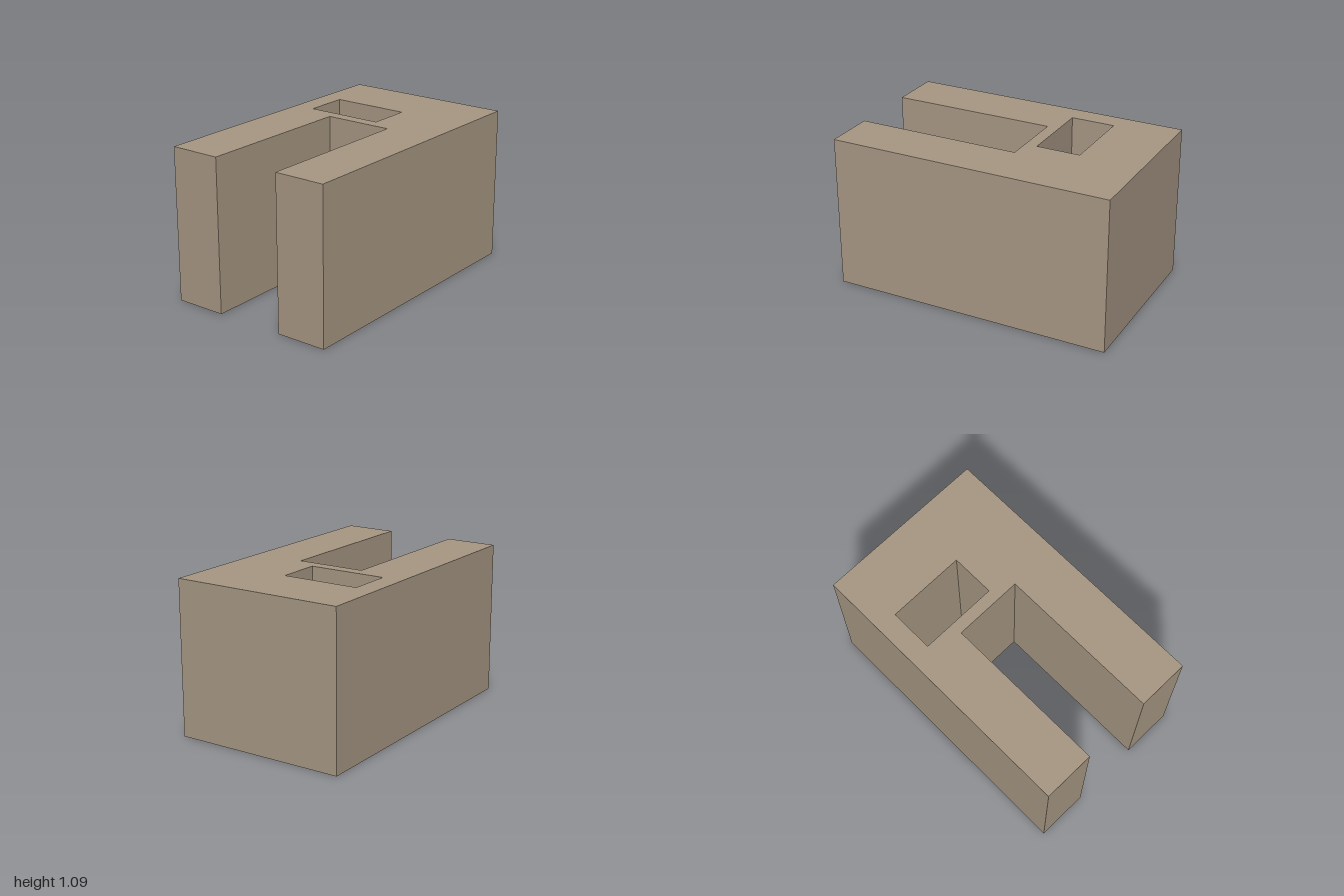
import * as THREE from 'three';

const HEIGHT = 1.085;

// Plan outline from [x, z] corners; shape y is -z so the extrusion can be stood up
const toPlan = (corners) => corners.map(([x, z]) => new THREE.Vector2(x, -z));

export function createModel() {
  const group = new THREE.Group();
  group.name = 'slottedBlock';

  // U-shaped block, its slot open to the front
  const w = 0.613, s = 0.246, slotEnd = -0.165;
  const plan = new THREE.Shape(toPlan([
    [-w, 1], [-s, 1], [-s, slotEnd], [s, slotEnd],
    [s, 1], [w, 1], [w, -1], [-w, -1],
  ]));

  // Rectangular shaft through the full height, behind the slot
  plan.holes.push(new THREE.Path(toPlan([
    [-0.465, -0.56], [0.09, -0.56], [0.09, -0.25], [-0.465, -0.25],
  ])));

  const geometry = new THREE.ExtrudeGeometry(plan, { depth: HEIGHT, bevelEnabled: false });
  geometry.rotateX(-Math.PI / 2);

  const block = new THREE.Mesh(geometry, new THREE.MeshStandardMaterial({ color: 0xa89884 }));
  block.name = 'block';
  group.add(block);
  return group;
}
